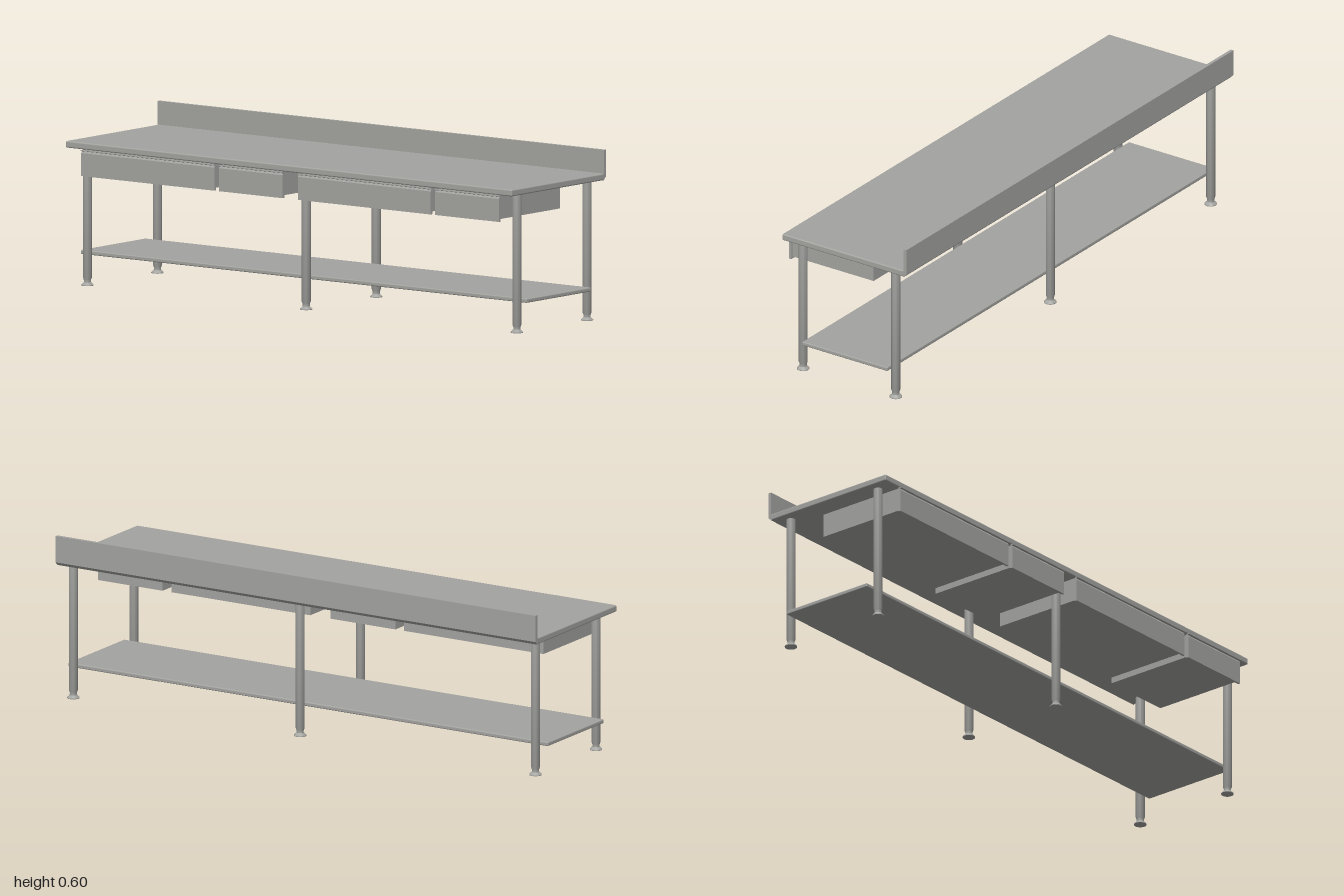
import * as THREE from 'three';
import { RoundedBoxGeometry } from 'three/addons/geometries/RoundedBoxGeometry.js';
import { toCreasedNormals } from 'three/addons/utils/BufferGeometryUtils.js';

export function createModel() {
  const group = new THREE.Group();
  const steel = new THREE.MeshStandardMaterial({ color: 0xa3a3a0 });
  steel.name = 'brushed steel';

  const add = (name, geometry, x = 0, y = 0, z = 0) => {
    const mesh = new THREE.Mesh(geometry, steel);
    mesh.name = name;
    mesh.position.set(x, y, z);
    group.add(mesh);
    return mesh;
  };

  // Solid from min/max bounds, rounded when r > 0
  const block = (name, [x0, x1], [y0, y1], [z0, z1], r = 0) => {
    const size = [x1 - x0, y1 - y0, z1 - z0];
    const geometry = r ? new RoundedBoxGeometry(...size, 3, r) : new THREE.BoxGeometry(...size);
    return add(name, geometry, (x0 + x1) / 2, (y0 + y1) / 2, (z0 + z1) / 2);
  };

  // Profile in x/y swept along z
  const sweep = (name, points, z0, z1) => {
    const shape = new THREE.Shape(points.map(([x, y]) => new THREE.Vector2(x, y)));
    const geometry = new THREE.ExtrudeGeometry(shape, { depth: z1 - z0, bevelEnabled: false });
    return add(name, geometry, 0, 0, z0);
  };

  // Worktop with rounded edges and the upstand along its back
  block('worktop', [-0.265, 0.263], [0.494, 0.518], [-1, 1], 0.005);
  sweep('upstand', [
    [0.256, 0.494], [0.26, 0.494], [0.272, 0.506], [0.272, 0.602],
    [0.26, 0.602], [0.26, 0.518], [0.256, 0.517],
  ], -1, 1);

  // Lower shelf
  block('shelf', [-0.179, 0.189], [0.106, 0.121], [-1, 1], 0.004);

  // Round legs with tapered ends and flared feet
  const legProfile = [
    [0, 0], [0.022, 0], [0.022, 0.003], [0.013, 0.012], [0.0125, 0.018],
    [0.0135, 0.022], [0.016, 0.029], [0.016, 0.495],
  ].map(([r, y]) => new THREE.Vector2(r, y));
  const legGeometry = toCreasedNormals(new THREE.LatheGeometry(legProfile, 28), 0.6);
  for (const x of [-0.195, 0.204]) {
    for (const z of [-0.957, 0.024, 0.969]) add('leg', legGeometry, x, 0, z);
  }

  // Drawers: box body and a front panel with a folded grip lip
  const drawers = [[-0.925, -0.328], [-0.308, -0.022], [0.047, 0.642], [0.662, 0.948]];
  for (const [z0, z1] of drawers) {
    block('drawerBody', [-0.264, 0.088], [0.408, 0.4945], [z0 + 0.008, z1 - 0.008]);
    sweep('drawerFront', [
      [-0.271, 0.4], [-0.262, 0.4], [-0.261, 0.402], [-0.261, 0.489], [-0.264, 0.493],
      [-0.274, 0.493], [-0.274, 0.49], [-0.267, 0.488], [-0.271, 0.482],
    ], z0, z1);
  }

  return group;
}
